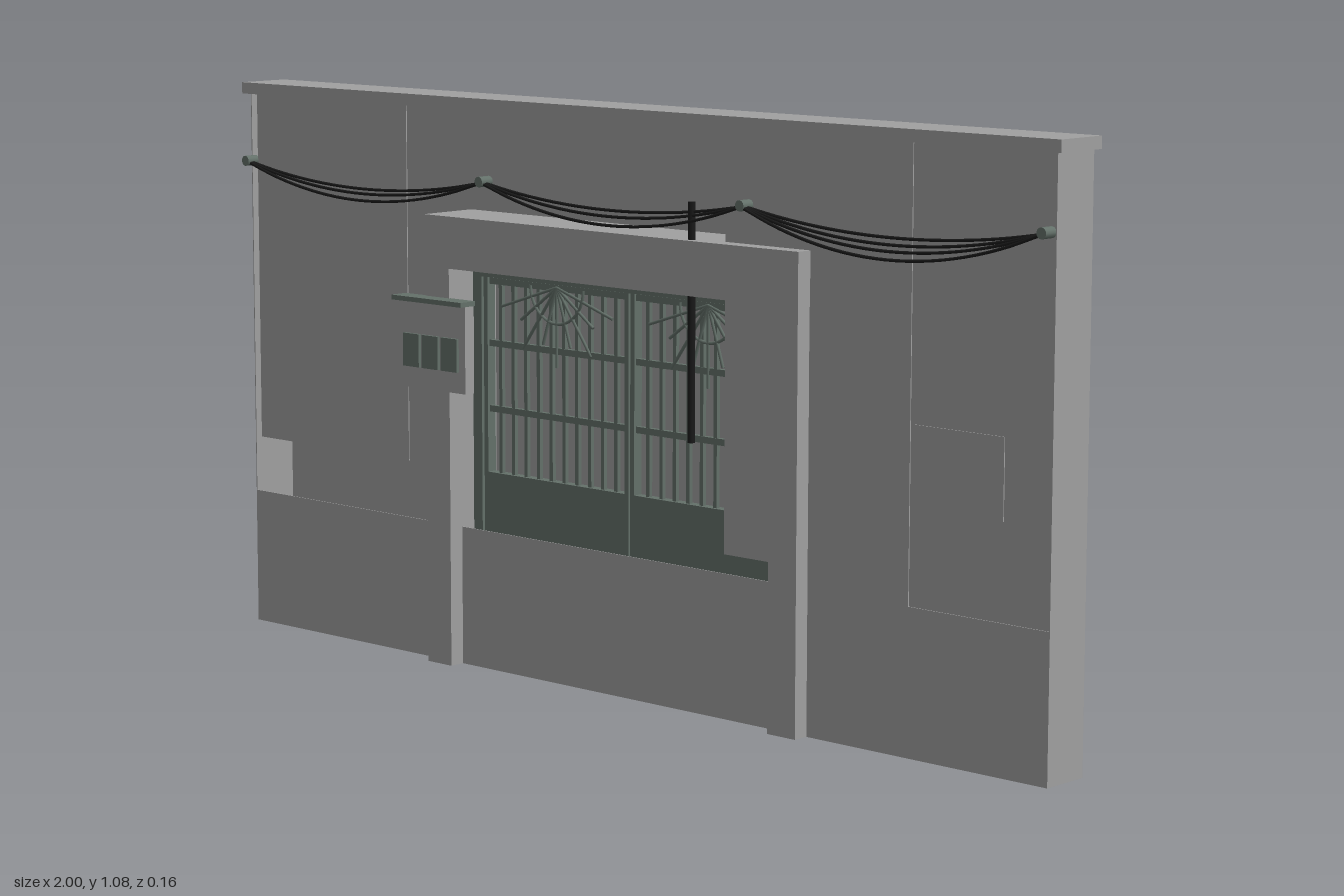
import * as THREE from 'three';

const mat = (name, color) => {
  const m = new THREE.MeshStandardMaterial({ color, side: THREE.DoubleSide });
  m.name = name;
  return m;
};

export function createModel() {
  const model = new THREE.Group();
  const plaster = mat('plaster grey', 0xa0a0a0);
  const green = mat('grey green paint', 0x64716a);
  const black = mat('cable black', 0x1a1a1a);

  const add = (parent, name, geometry, material) => {
    const mesh = new THREE.Mesh(geometry, material);
    mesh.name = name;
    parent.add(mesh);
    return mesh;
  };
  // Box given by its lower and upper limits on each axis
  const box = (parent, name, material, x0, x1, y0, y1, z0, z1) => {
    const g = new THREE.BoxGeometry(x1 - x0, y1 - y0, z1 - z0);
    g.translate((x0 + x1) / 2, (y0 + y1) / 2, (z0 + z1) / 2);
    return add(parent, name, g, material);
  };
  const group = (name) => {
    const g = new THREE.Group();
    g.name = name;
    model.add(g);
    return g;
  };

  // Hollow wall: back, ends, coping
  const wall = group('wall');
  box(wall, 'wallBack', plaster, -0.988, 0.985, 0, 1.06, -0.08, -0.077);
  box(wall, 'wallEnd', plaster, -0.988, -0.986, 0, 1.06, -0.077, 0.018);
  box(wall, 'wallEnd', plaster, 0.983, 0.985, 0, 1.06, -0.077, 0.018);
  box(wall, 'coping', plaster, -1, 1, 1.058, 1.08, -0.08, 0.03);

  // Front skin: plinth joined to the tall panel, with a notch by the gate
  const skin = new THREE.Shape([
    [-0.988, 0], [0.985, 0], [0.985, 0.265], [0.685, 0.265], [0.685, 1.058],
    [0.265, 1.058], [0.265, 0.3], [0.396, 0.3], [0.396, 0.265], [-0.988, 0.265],
  ].map(([x, y]) => new THREE.Vector2(x, y)));
  const skinGeo = new THREE.ExtrudeGeometry(skin, { depth: 0.002, bevelEnabled: false });
  add(wall, 'plinthAndPanel', skinGeo.translate(0, 0, 0.016), plaster);
  box(wall, 'largePanel', plaster, -0.97, -0.545, 0.375, 1.058, 0.016, 0.018);
  box(wall, 'smallPanel', plaster, 0.69, 0.885, 0.437, 0.58, 0.016, 0.018);

  // Posts and lintel around the gateway
  const doorway = group('doorway');
  box(doorway, 'post', plaster, -0.463, -0.4, 0, 0.76, -0.075, 0.049);
  box(doorway, 'post', plaster, 0.396, 0.46, 0, 0.76, -0.075, 0.049);
  box(doorway, 'lintel', plaster, -0.465, 0.461, 0.76, 0.858, -0.075, 0.05);

  // Gate frame
  const gate = group('gate');
  const z0 = -0.04, z1 = -0.02, zc = -0.03;
  box(gate, 'gateJamb', green, -0.4, -0.377, 0, 0.76, z0 - 0.006, z1 + 0.006);
  box(gate, 'gateJamb', green, 0.373, 0.396, 0, 0.76, z0 - 0.006, z1 + 0.006);
  box(gate, 'gateHead', green, -0.377, 0.373, 0.742, 0.76, z0 - 0.006, z1 + 0.006);

  // Two leaves, each with a solid base, bars, rails and a sunburst
  const rod = (parent, name, from, to, r, material) => {
    const g = new THREE.CylinderGeometry(r, r, from.distanceTo(to), 6);
    const mesh = add(parent, name, g, material);
    mesh.position.copy(from).lerp(to, 0.5);
    mesh.quaternion.setFromUnitVectors(new THREE.Vector3(0, 1, 0), to.clone().sub(from).normalize());
  };
  for (const [a, b] of [[-0.377, -0.003], [0.001, 0.373]]) {
    box(gate, 'gatePanel', green, a, b, 0, 0.37, z0, z1);
    for (const x of [a, b - 0.01]) box(gate, 'leafStile', green, x, x + 0.01, 0.37, 0.742, z0, z1);
    for (const y of [0.485, 0.61, 0.728]) {
      box(gate, 'gateRail', green, a, b, y, y + 0.012, zc - 0.005, zc + 0.005);
    }
    const bars = 11, cx = (a + b) / 2;
    for (let i = 1; i < bars; i++) {
      const x = a + 0.005 + ((b - a - 0.01) * i) / bars;
      box(gate, 'gateBar', green, x - 0.004, x + 0.004, 0.37, 0.735, zc - 0.004, zc + 0.004);
    }
    const hub = new THREE.Vector3(cx, 0.735, zc + 0.005);
    for (let i = 1; i < 10; i++) {
      const t = Math.PI + (Math.PI * i) / 10;
      const r = i % 2 ? 0.15 : 0.115;
      const tip = new THREE.Vector3(cx + r * Math.cos(t), 0.735 + r * Math.sin(t), hub.z);
      rod(gate, 'sunburstSpoke', hub, tip, 0.003, green);
    }
    const arc = add(gate, 'sunburstArc', new THREE.TorusGeometry(0.068, 0.003, 6, 20, Math.PI), green);
    arc.position.copy(hub);
    arc.rotation.z = Math.PI;
  }

  // Letter box with a small roof and three openings
  const letterBox = group('letterBox');
  box(letterBox, 'letterBoxBody', plaster, -0.515, -0.338, 0.53, 0.695, 0.045, 0.068);
  box(letterBox, 'letterBoxRoof', green, -0.521, -0.334, 0.695, 0.704, 0.045, 0.083);
  for (let i = 0; i < 3; i++) {
    const x = -0.5 + i * 0.051;
    box(letterBox, 'letterBoxWindow', green, x, x + 0.043, 0.57, 0.633, 0.067, 0.074);
  }

  // Hanging cables between four brackets, and a vertical conduit
  const cables = group('cables');
  const anchors = [-0.978, -0.325, 0.32, 0.973];
  for (const x of anchors) {
    const g = new THREE.CylinderGeometry(0.01, 0.01, 0.028, 12).rotateX(Math.PI / 2);
    add(cables, 'cableBracket', g.translate(x, 0.927, 0.03), green);
  }
  const sags = [[0.033, 0.042, 0.055], [0.029, 0.04, 0.056], [0.03, 0.042, 0.053, 0.067]];
  sags.forEach((list, i) => list.forEach((sag, k) => {
    const points = [];
    for (let s = 0; s <= 8; s++) {
      const t = s / 8;
      const x = THREE.MathUtils.lerp(anchors[i], anchors[i + 1], t);
      points.push(new THREE.Vector3(x, 0.925 - sag * 4 * t * (1 - t), 0.031 + k * 0.003));
    }
    const path = new THREE.CatmullRomCurve3(points);
    add(cables, 'cable', new THREE.TubeGeometry(path, 28, 0.003, 6), black);
  }));
  rod(cables, 'conduit', new THREE.Vector3(0.198, 0.495, 0.032),
    new THREE.Vector3(0.198, 0.925, 0.032), 0.007, black);

  return model;
}
